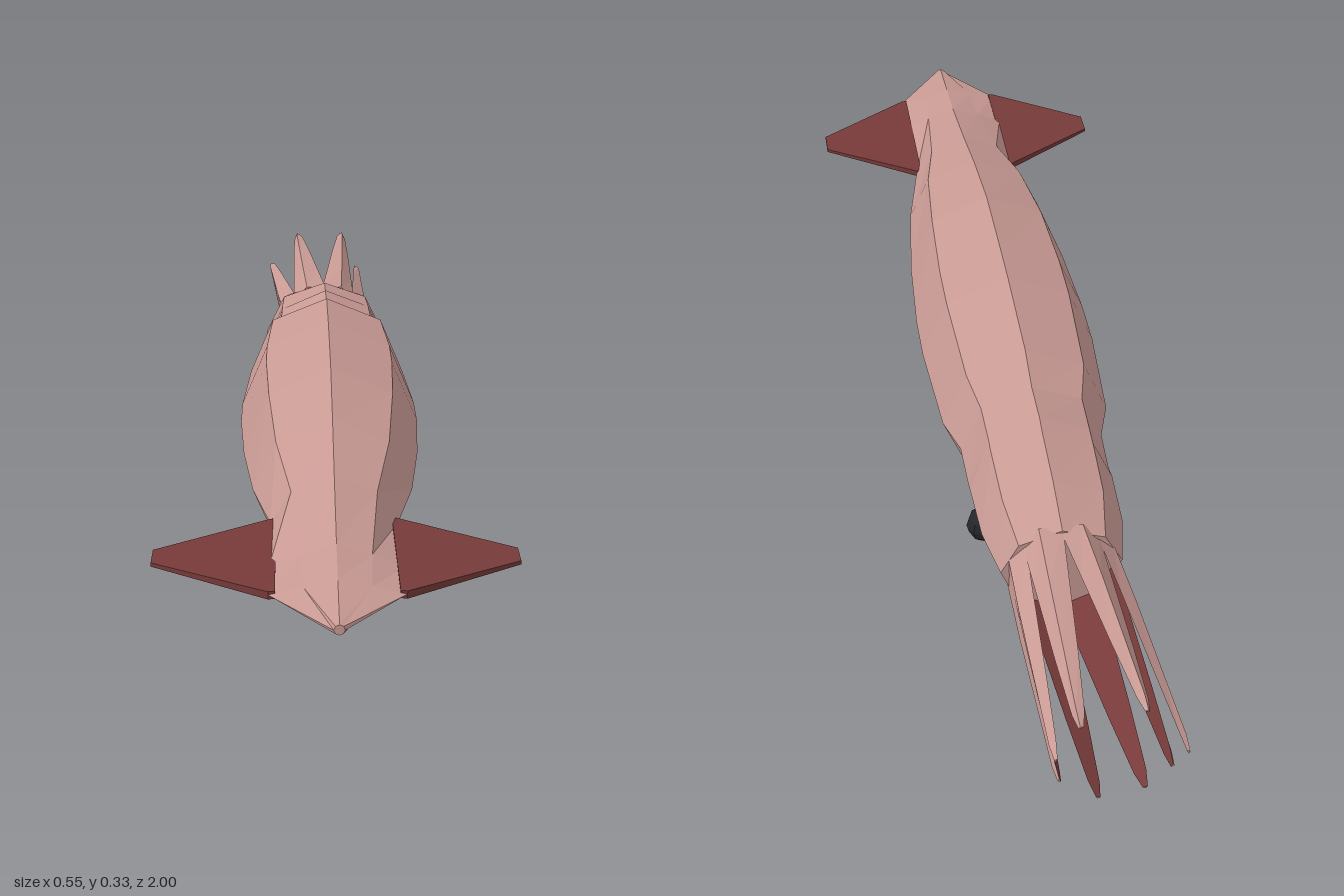
import * as THREE from 'three';

const material = (name, color, extra = {}) => {
  const m = new THREE.MeshStandardMaterial({ color, flatShading: true, ...extra });
  m.name = name;
  return m;
};

// Skins cross-sections (counter-clockwise rings, ordered from +z to -z).
// Each side strip gets its own group so that it can have its own material.
function loft(rings, sideMaterial = () => 0) {
  const pos = [];
  const geo = new THREE.BufferGeometry();
  const n = rings[0].length;
  const tri = (...pts) => pts.forEach((p) => pos.push(p.x, p.y, p.z));
  for (let i = 0; i < n; i++) {
    const start = pos.length / 3;
    const j = (i + 1) % n;
    for (let k = 0; k < rings.length - 1; k++) {
      const a = rings[k], b = rings[k + 1];
      tri(a[i], b[i], a[j]);
      tri(a[j], b[i], b[j]);
    }
    geo.addGroup(start, pos.length / 3 - start, sideMaterial(i));
  }
  const capStart = pos.length / 3;
  const first = rings[0], last = rings[rings.length - 1];
  for (let i = 1; i < n - 1; i++) {
    tri(first[0], first[i], first[i + 1]);
    tri(last[0], last[i + 1], last[i]);
  }
  geo.addGroup(capStart, pos.length / 3 - capStart, 0);
  geo.setAttribute('position', new THREE.Float32BufferAttribute(pos, 3));
  geo.computeVertexNormals();
  return geo;
}

const V = (x, y, z) => new THREE.Vector3(x, y, z);

// Octagonal ring; pinch pulls the four diagonal corners inward.
function octagon([z, top, bottom, halfWidth, sideY, pinch = 1]) {
  return Array.from({ length: 8 }, (_, i) => {
    const a = (i * Math.PI) / 4;
    const s = Math.sin(a) * (i % 2 ? pinch : 1);
    const c = Math.cos(a) * (i % 2 ? pinch : 1);
    const up = s > 0 ? top - sideY : sideY - bottom;
    return V(c * halfWidth, sideY + s * up, z);
  });
}

export function createModel() {
  const skin = material('pink skin', 0xc99a94);
  const red = material('dark red', 0x773a3a);
  const black = material('eye black', 0x24262a);
  const squid = new THREE.Group();
  squid.name = 'squid';
  const add = (name, geometry, mat) => {
    const mesh = new THREE.Mesh(geometry, mat);
    mesh.name = name;
    squid.add(mesh);
    return mesh;
  };

  // Mantle and head: z, top, bottom, half width, side height, pinch
  const bodySections = [
    [1.0, 0.184, 0.168, 0.008, 0.176],
    [0.88, 0.2, 0.155, 0.1, 0.176, 0.7],
    [0.78, 0.213, 0.138, 0.1, 0.176, 0.75],
    [0.6, 0.252, 0.088, 0.1, 0.174, 0.95],
    [0.45, 0.29, 0.045, 0.13, 0.172],
    [0.27, 0.324, 0.02, 0.149, 0.17],
    [0.1, 0.327, 0.012, 0.158, 0.17],
    [0, 0.327, 0.013, 0.158, 0.17],
    [-0.2, 0.315, 0.024, 0.146, 0.17],
    [-0.27, 0.29, 0.05, 0.124, 0.168],
    [-0.35, 0.29, 0.055, 0.122, 0.16],
    [-0.38, 0.282, 0.058, 0.122, 0.168],
    [-0.49, 0.268, 0.06, 0.118, 0.168],
    [-0.58, 0.243, 0.066, 0.1, 0.165],
  ];
  add('mantle and head', loft(bodySections.map(octagon)), [skin]);

  // Siphon collar under the neck
  const collar = [
    [-0.26, 0.045, 0.085],
    [-0.31, 0.006, 0.1],
    [-0.35, 0, 0.1],
    [-0.375, 0.05, 0.085],
  ].map(([z, bottom, w]) => [
    V(w, 0.14, z), V(-w, 0.14, z), V(-w * 0.86, bottom + 0.045, z),
    V(0, bottom, z), V(w * 0.86, bottom + 0.045, z),
  ]);
  add('siphon', loft(collar), [skin]);

  // Thin tail fins, mirrored left and right
  const finRing = (z, inner, outer, tRoot, tTip) => [
    V(outer, 0.175 + tTip, z), V(inner, 0.176 + tRoot, z),
    V(inner, 0.176 - tRoot, z), V(outer, 0.175 - tTip, z),
  ];
  const finRings = [
    finRing(0.88, 0.09, 0.1, 0.006, 0.006),
    finRing(0.765, 0.09, 0.275, 0.006, 0.003),
    finRing(0.715, 0.09, 0.275, 0.006, 0.003),
    finRing(0.6, 0.09, 0.1, 0.006, 0.006),
  ];
  const mirrorRing = (ring) => ring.map((p) => V(-p.x, p.y, p.z)).reverse();
  add('left fin', loft(finRings), [red]);
  add('right fin', loft(finRings.map(mirrorRing)), [red]);

  // Eight tapering arms with red inner faces: angle, tip x, y, z
  const arms = [
    [22.5, 0.078, 0.172, -0.985], [67.5, 0.045, 0.248, -0.995],
    [112.5, -0.055, 0.25, -0.98], [157.5, -0.114, 0.175, -1.0],
    [202.5, -0.096, 0.132, -0.985], [247.5, -0.06, 0.078, -0.975],
    [292.5, 0.014, 0.08, -0.985], [337.5, 0.072, 0.128, -0.985],
  ];
  arms.forEach(([deg, tx, ty, tz], index) => {
    const a = THREE.MathUtils.degToRad(deg);
    const out = V(Math.cos(a), Math.sin(a), 0);
    const side = V(-out.y, out.x, 0);
    const base = V(out.x * 0.078, 0.157 + out.y * 0.073, -0.565);
    const tip = V(tx, ty, tz);
    const rings = [
      [0, 0.036, 0.016], [0.3, 0.028, 0.015], [0.65, 0.019, 0.011],
      [0.93, 0.01, 0.008], [1, 0.004, 0.004],
    ].map(([t, w, h]) => {
      const c = base.clone().lerp(tip, t);
      return [
        c.clone().addScaledVector(out, h),
        c.clone().addScaledVector(side, w),
        c.clone().addScaledVector(side, -w),
      ];
    });
    add(`arm ${index + 1}`, loft(rings, (i) => (i === 1 ? 1 : 0)), [skin, red]);
  });

  // Single bead eye on the left side
  const eye = add('eye', new THREE.SphereGeometry(0.031, 8, 6), black);
  eye.position.set(0.104, 0.132, -0.425);

  return squid;
}
